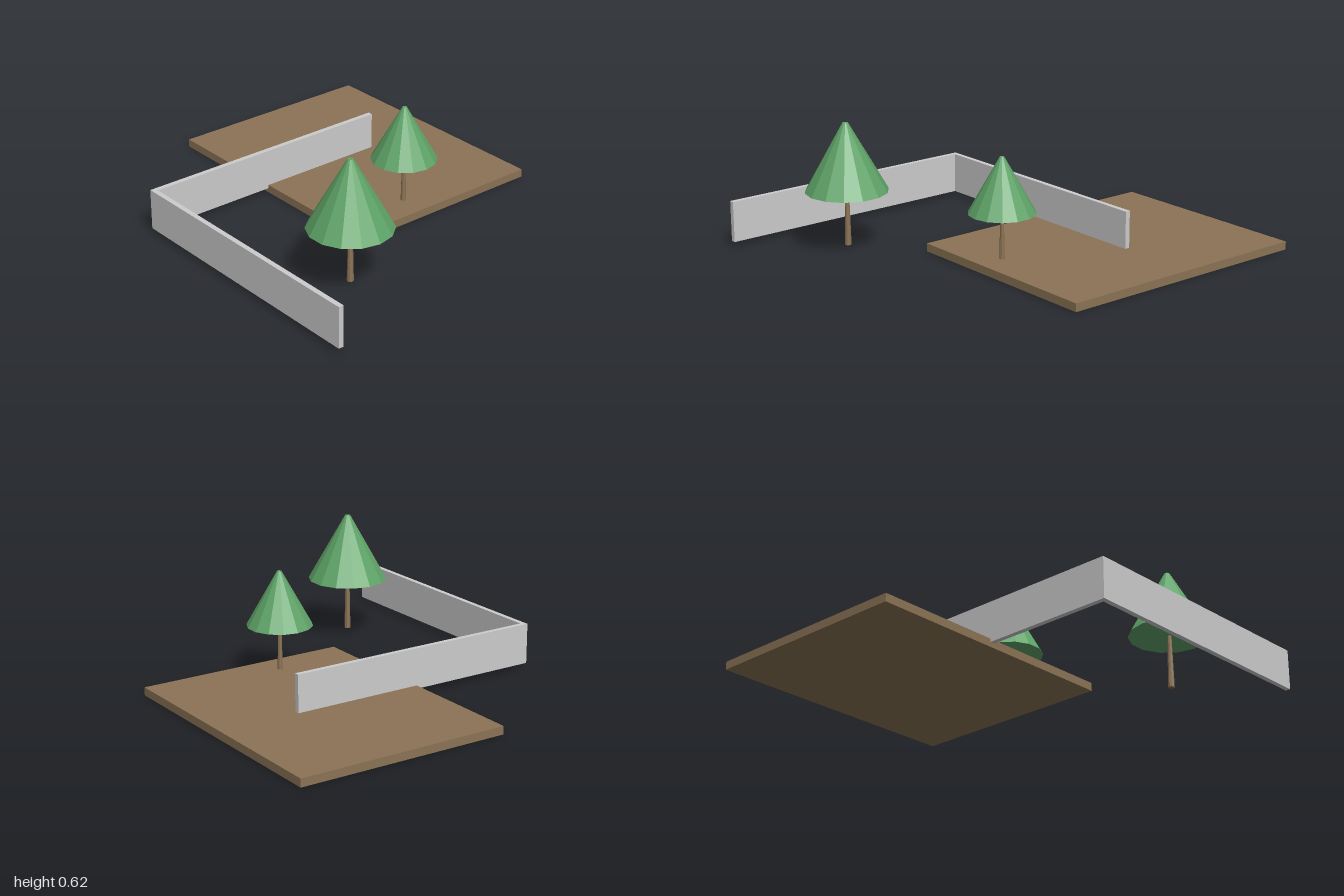
import * as THREE from 'three';

const material = (name, color, flatShading = false) => {
  const m = new THREE.MeshStandardMaterial({ color, flatShading });
  m.name = name;
  return m;
};

export function createModel() {
  const earth = material('earthBrown', 0x8b7355, true);
  const concrete = material('concreteGrey', 0xcccccc, true);
  const leaves = material('leafGreen', 0x5fa468, true);

  const model = new THREE.Group();
  model.name = 'garden';

  // Box given by its lower and upper corners
  const addBox = (name, mat, [x0, y0, z0], [x1, y1, z1]) => {
    const mesh = new THREE.Mesh(new THREE.BoxGeometry(x1 - x0, y1 - y0, z1 - z0), mat);
    mesh.position.set((x0 + x1) / 2, (y0 + y1) / 2, (z0 + z1) / 2);
    mesh.name = name;
    model.add(mesh);
  };

  // Ground slab and the two walls meeting at a corner
  addBox('groundSlab', earth, [-0.2, 0, -1], [0.865, 0.04, 0.333]);
  addBox('backWall', concrete, [-0.865, 0.023, -0.36], [0.46, 0.223, -0.335]);
  addBox('sideWall', concrete, [-0.865, 0.023, -0.335], [-0.84, 0.223, 1]);

  // Tree: tapered trunk under a blunt faceted cone
  const addTree = (name, x, z, base, crownBase, top, radius) => {
    const tree = new THREE.Group();
    tree.name = name;
    tree.position.set(x, 0, z);
    const addPart = (part, mat, rTop, rBottom, y0, y1, sides) => {
      const mesh = new THREE.Mesh(new THREE.CylinderGeometry(rTop, rBottom, y1 - y0, sides), mat);
      mesh.position.y = (y0 + y1) / 2;
      mesh.name = part;
      tree.add(mesh);
    };
    addPart('trunk', earth, radius * 0.05, radius * 0.08, base, crownBase + 0.01, 8);
    addPart('crown', leaves, radius * 0.067, radius, crownBase, top, 14);
    model.add(tree);
  };
  addTree('largeTree', -0.467, 0.6, 0.023, 0.29, 0.622, 0.2);
  addTree('smallTree', 0.2, 0.2, 0.04, 0.262, 0.529, 0.16);

  return model;
}
